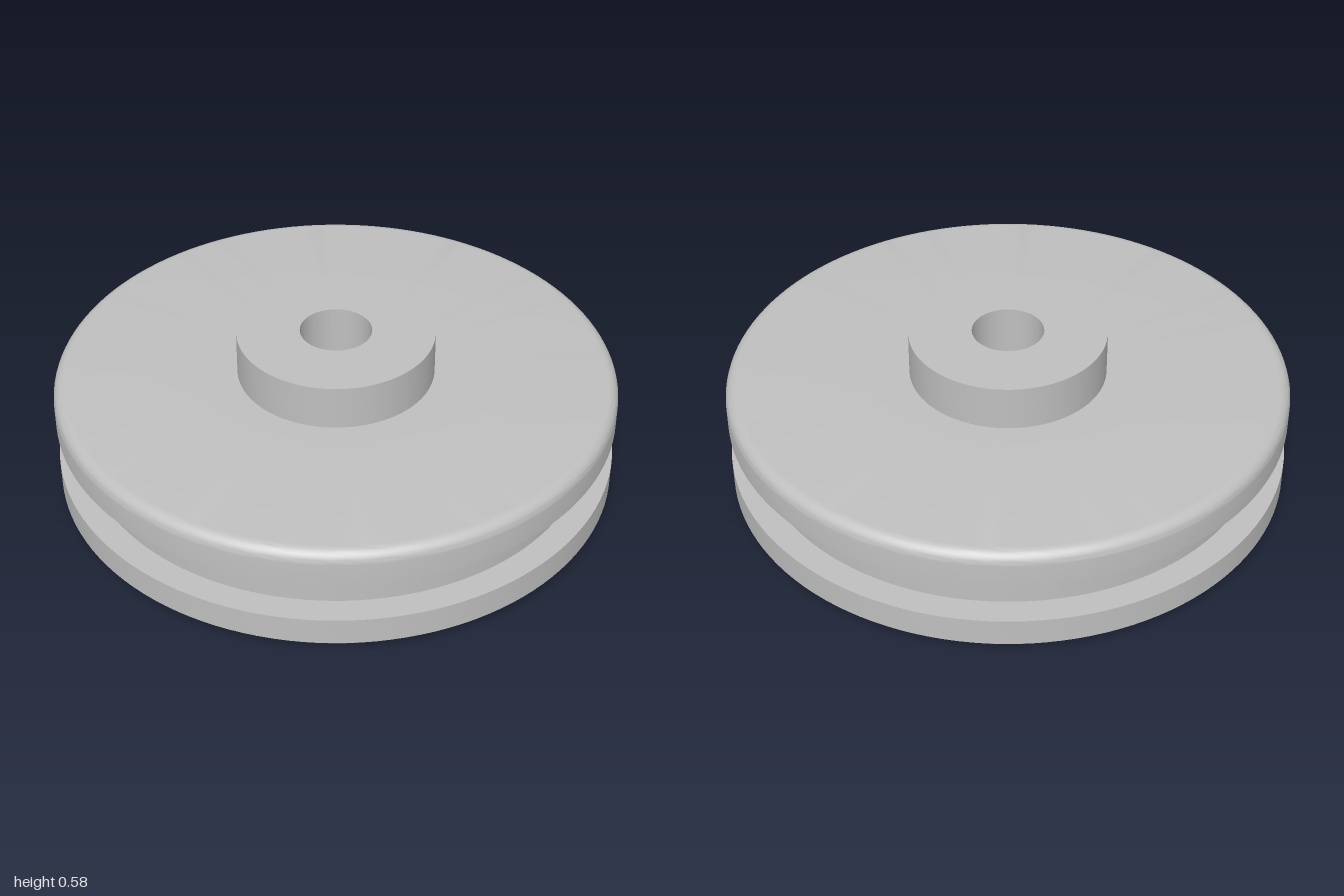
import * as THREE from 'three';
import { toCreasedNormals } from 'three/addons/utils/BufferGeometryUtils.js';

const SEGMENTS = 128;
const RIM = 1, GROOVE = 0.907, HUB = 0.35, BORE = 0.127;
const GROOVE_LOW = 0.135, GROOVE_HIGH = 0.289, DISC_TOP = 0.417, HUB_TOP = 0.58;
const CHAMFER = 0.035, FILLET = 0.045;

export function createModel() {
  const model = new THREE.Group();
  model.name = 'groovedWheel';
  const metal = new THREE.MeshStandardMaterial({ color: 0xbfbfbf });
  metal.name = 'grey metal';

  // Turns a [radius, height] profile around the axle; profiles run outward, up, then inward
  function turn(name, profile) {
    const points = profile.map(([r, y]) => new THREE.Vector2(r, y));
    const geometry = toCreasedNormals(new THREE.LatheGeometry(points, SEGMENTS), Math.PI / 6);
    const mesh = new THREE.Mesh(geometry, metal);
    mesh.name = name;
    model.add(mesh);
  }

  // Flat underside, chamfered edge and lower wall of the groove
  turn('lowerFlange', [
    [BORE, 0], [RIM - CHAMFER, 0], [RIM, CHAMFER], [RIM, GROOVE_LOW], [GROOVE, GROOVE_LOW],
  ]);

  // Floor of the groove
  turn('grooveFloor', [[GROOVE, GROOVE_LOW], [GROOVE, GROOVE_HIGH]]);

  // Upper wall of the groove, rounded edge and top face
  const fillet = [];
  for (let i = 0; i <= 8; i++) {
    const a = (i / 8) * Math.PI / 2;
    fillet.push([RIM - FILLET + FILLET * Math.cos(a), DISC_TOP - FILLET + FILLET * Math.sin(a)]);
  }
  turn('upperFlange', [[GROOVE, GROOVE_HIGH], [RIM, GROOVE_HIGH], ...fillet, [HUB, DISC_TOP]]);

  // Raised hub and the axle hole through the whole wheel
  turn('hub', [[HUB, DISC_TOP], [HUB, HUB_TOP], [BORE, HUB_TOP]]);
  turn('axleHole', [[BORE, HUB_TOP], [BORE, 0]]);

  return model;
}
